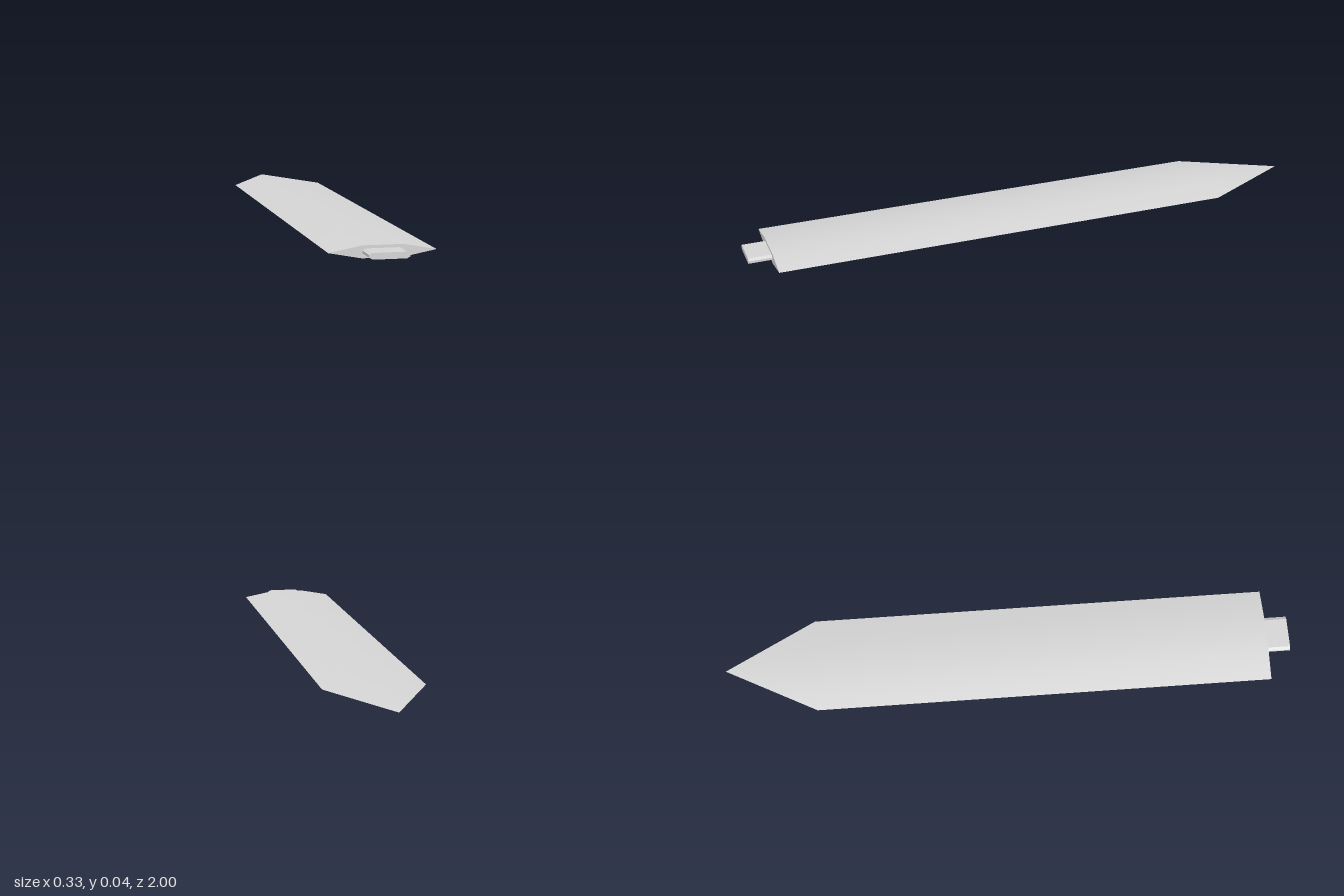
import * as THREE from 'three';
import { toCreasedNormals } from 'three/addons/utils/BufferGeometryUtils.js';

const MID = 0.0195; // height of the cutting edges

// Six-sided blade section, counter-clockwise seen from +z
function section(z, edge, flat, h) {
  return [[edge, 0], [flat, h], [-flat, h], [-edge, 0], [-flat, -h], [flat, -h]]
    .map(([x, y]) => [x, MID + y, z]);
}

// Blade lofted from base to shoulder, then drawn to a point
function bladeGeometry() {
  const base = section(0.92, 0.167, 0.064, MID);
  const shoulder = section(-0.68, 0.167, 0.062, 0.015);
  const tip = [0, MID, -1];
  const pos = [];
  const tri = (...pts) => pts.forEach((p) => pos.push(...p));
  for (let i = 0; i < 6; i++) {
    const j = (i + 1) % 6;
    tri(base[i], shoulder[i], shoulder[j]);
    tri(base[i], shoulder[j], base[j]);
    tri(shoulder[i], tip, shoulder[j]);
    tri([0, MID, 0.92], base[i], base[j]);
  }
  const g = new THREE.BufferGeometry();
  g.setAttribute('position', new THREE.Float32BufferAttribute(pos, 3));
  return toCreasedNormals(g, 0.3);
}

// Flat bar with chamfered corners
function tangGeometry() {
  const w = 0.063, h = 0.01, cx = 0.011, cy = 0.006;
  const corners = [
    [w, h - cy], [w - cx, h], [cx - w, h], [-w, h - cy],
    [-w, cy - h], [cx - w, -h], [w - cx, -h], [w, cy - h],
  ].map(([x, y]) => new THREE.Vector2(x, y));
  return new THREE.ExtrudeGeometry(new THREE.Shape(corners), { depth: 0.08, bevelEnabled: false });
}

export function createModel() {
  const group = new THREE.Group();
  group.name = 'bladeWithTang';
  const steel = new THREE.MeshStandardMaterial({ color: 0xd6d6d6 });
  steel.name = 'steel grey';

  const blade = new THREE.Mesh(bladeGeometry(), steel);
  blade.name = 'blade';

  const tang = new THREE.Mesh(tangGeometry(), steel);
  tang.name = 'tang';
  tang.position.set(0, MID, 0.92);

  group.add(blade, tang);
  return group;
}
